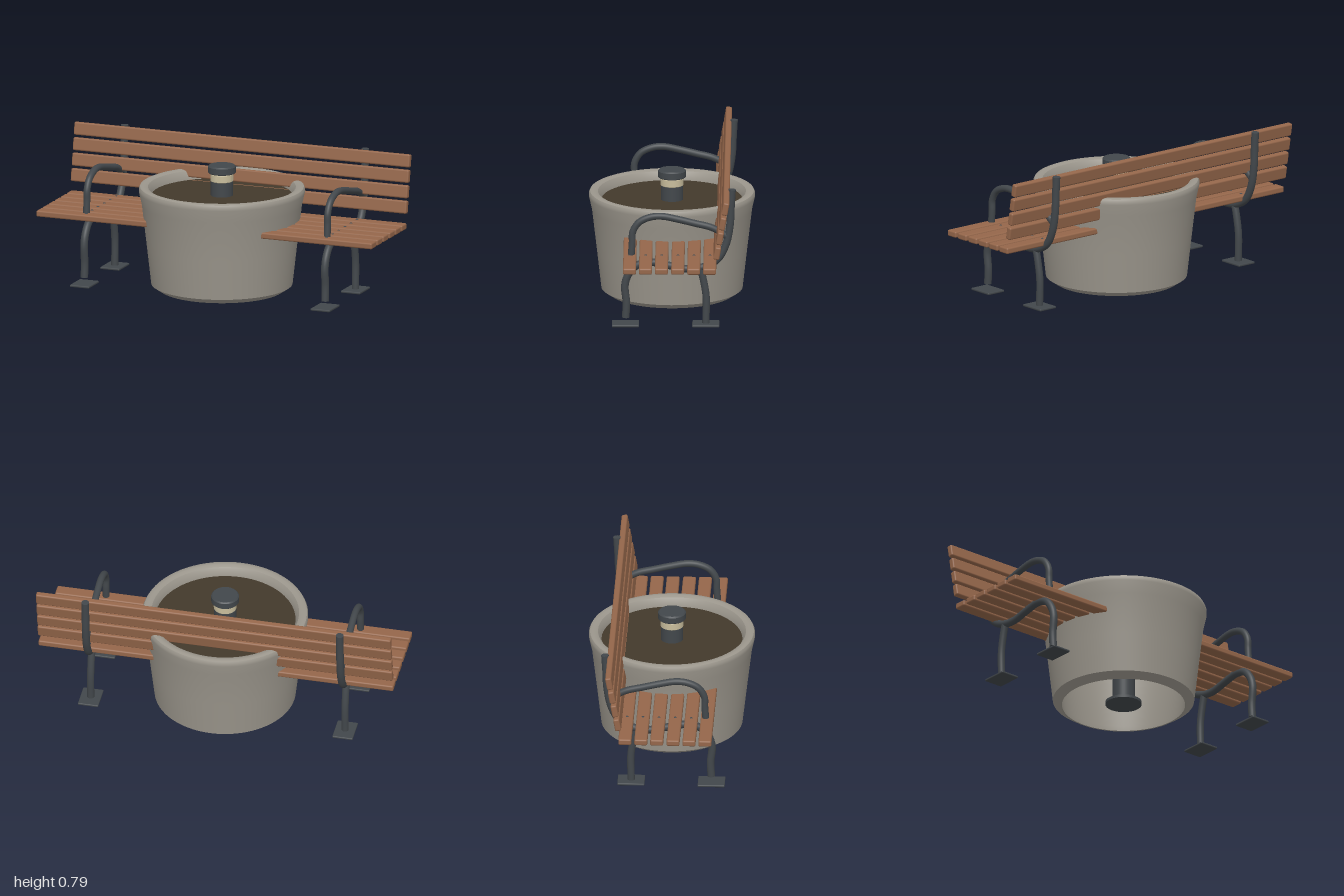
import * as THREE from 'three';
import { RoundedBoxGeometry } from 'three/addons/geometries/RoundedBoxGeometry.js';
import { toCreasedNormals } from 'three/addons/utils/BufferGeometryUtils.js';

const mat = (color, side = THREE.FrontSide) => new THREE.MeshStandardMaterial({ color, side });

export function createModel() {
  const root = new THREE.Group();
  const wood = mat(0x94664a), metal = mat(0x42474b), stone = mat(0x9b968c, THREE.DoubleSide);
  const soilMat = mat(0x43392b, THREE.DoubleSide), lens = mat(0xc8bd9c);

  const add = (parent, name, geometry, material, x = 0, y = 0, z = 0) => {
    const mesh = new THREE.Mesh(geometry, material);
    mesh.name = name;
    mesh.position.set(x, y, z);
    parent.add(mesh);
    return mesh;
  };
  const lathe = (points, segments = 64) => toCreasedNormals(
    new THREE.LatheGeometry(points.map(([r, y]) => new THREE.Vector2(r, y)), segments), 0.5);

  // Planter: tapered shell with a rolled rim, open underneath
  add(root, 'planter', lathe([
    [0.34, 0.002], [0.345, 0], [0.39, 0.03], [0.415, 0.25], [0.442, 0.48], [0.458, 0.55],
    [0.458, 0.568], [0.452, 0.58], [0.44, 0.585], [0.425, 0.585], [0.408, 0.577],
    [0.397, 0.56], [0.388, 0.53], [0.36, 0.25], [0.34, 0.03], [0.34, 0.002],
  ], 72), stone);
  add(root, 'soil', new THREE.CircleGeometry(0.389, 64).rotateX(-Math.PI / 2), soilMat, 0, 0.53, 0);

  // Bollard light in the middle of the planter
  const light = new THREE.Group();
  light.name = 'bollardLight';
  root.add(light);
  add(light, 'bollardBase', new THREE.CylinderGeometry(0.1, 0.1, 0.015, 40), metal, 0, 0.012, 0);
  add(light, 'bollardPost', new THREE.CylinderGeometry(0.062, 0.062, 0.6, 40), metal, 0, 0.31, 0);
  add(light, 'bollardLens', lathe([
    [0, 0.608], [0.058, 0.608], [0.063, 0.613], [0.063, 0.65], [0.058, 0.656], [0, 0.656],
  ], 40), lens);
  add(light, 'bollardCap', lathe([
    [0, 0.656], [0.073, 0.656], [0.077, 0.66], [0.077, 0.693], [0.07, 0.7], [0, 0.7],
  ], 40), metal);

  // Seat and backrest slats
  const slat = new RoundedBoxGeometry(2, 0.035, 0.072, 3, 0.009);
  const seatZ = [0.227, 0.139, 0.051, -0.039, -0.127, -0.215];
  for (const z of seatZ) add(root, 'seatSlat', slat, wood, 0, 0.39, z);
  const backSlat = new RoundedBoxGeometry(2, 0.072, 0.034, 3, 0.009);
  for (let i = 0; i < 4; i++) {
    const board = add(root, 'backSlat', backSlat, wood, 0, 0.494 + i * 0.0843, -0.257 - i * 0.015);
    board.rotation.x = -0.18;
  }

  // Bent tubes in the side plane, given as [z, y] points, with closed ends
  const bentTube = (parent, name, points, radius) => {
    const curve = new THREE.CatmullRomCurve3(points.map(([z, y]) => new THREE.Vector3(0, y, z)));
    add(parent, name, new THREE.TubeGeometry(curve, 72, radius, 20), metal);
    for (const t of [0, 1]) {
      const end = curve.getPointAt(t);
      const cap = add(parent, name + 'End', new THREE.CircleGeometry(radius, 20), metal, end.x, end.y, end.z);
      const out = curve.getTangentAt(t).multiplyScalar(t ? 1 : -1);
      cap.quaternion.setFromUnitVectors(new THREE.Vector3(0, 0, 1), out);
    }
  };
  const plate = new RoundedBoxGeometry(0.115, 0.013, 0.15, 2, 0.005);
  const bolt = new THREE.SphereGeometry(0.008, 12, 6, 0, Math.PI * 2, 0, Math.PI / 2).scale(1, 0.5, 1);

  for (const side of [1, -1]) {
    const frame = new THREE.Group();
    frame.name = side > 0 ? 'leftFrame' : 'rightFrame';
    frame.position.x = side * 0.717;
    root.add(frame);

    // One tube forms the back post, seat rail and front leg
    bentTube(frame, 'mainTube', [
      [-0.337, 0.785], [-0.331, 0.69], [-0.325, 0.58], [-0.302, 0.468], [-0.256, 0.385],
      [-0.18, 0.342], [-0.085, 0.33], [0.015, 0.35], [0.113, 0.367], [0.187, 0.35],
      [0.236, 0.295], [0.254, 0.234], [0.246, 0.135], [0.25, 0.052],
    ], 0.021);
    bentTube(frame, 'rearLeg', [[-0.162, 0.335], [-0.18, 0.26], [-0.194, 0.17], [-0.192, 0.02]], 0.02);
    bentTube(frame, 'armrest', [
      [0.219, 0.412], [0.214, 0.48], [0.211, 0.54], [0.177, 0.595], [0.113, 0.625], [0.05, 0.63],
      [-0.035, 0.614], [-0.133, 0.59], [-0.22, 0.568], [-0.28, 0.537], [-0.315, 0.51],
    ], 0.019);

    // Ground plates and slat bolts
    for (const z of [0.251, -0.192]) add(frame, 'footPlate', plate, metal, 0, 0.015, z);
    for (const z of seatZ) add(frame, 'slatBolt', bolt, metal, 0, 0.407, z);
  }
  return root;
}
